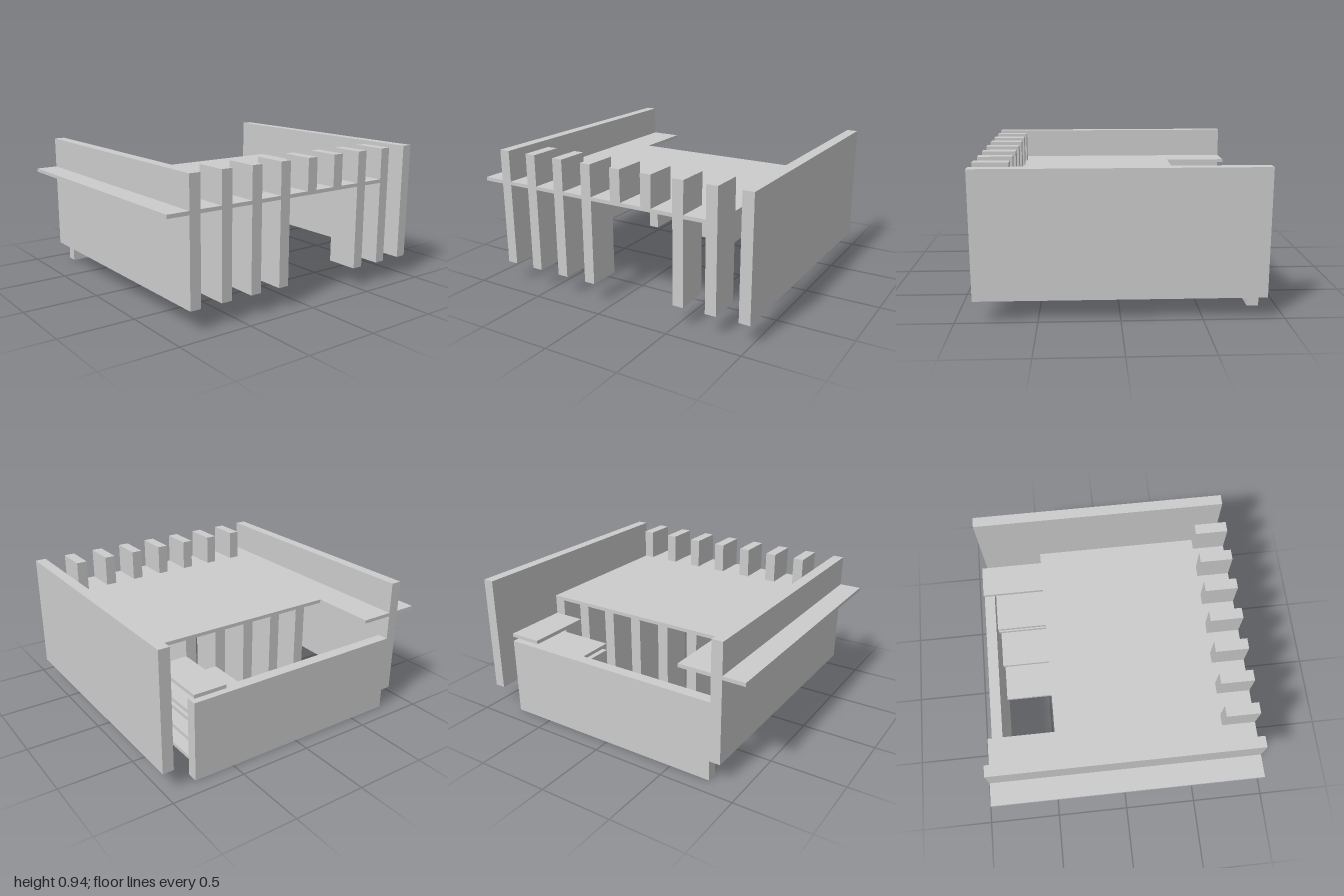
import * as THREE from 'three';

const U = 2 / 9;       // planning grid
const T = U / 3;       // wall and fin thickness
const S = 0.024;       // slab thickness
const X = 4 * U;       // half width
const Y0 = 0.136, Y1 = 0.935; // foot and top of walls
const ROOF = 0.725;    // top of roof slab

export function createModel() {
  const group = new THREE.Group();
  const material = new THREE.MeshStandardMaterial({ color: 0xcccccc });

  // Box given by its min and max on each axis
  function box(name, x0, x1, y0, y1, z0, z1) {
    const mesh = new THREE.Mesh(new THREE.BoxGeometry(x1 - x0, y1 - y0, z1 - z0), material);
    mesh.position.set((x0 + x1) / 2, (y0 + y1) / 2, (z0 + z1) / 2);
    mesh.name = name;
    group.add(mesh);
  }

  // Long walls
  box('frontWall', -X, X, Y0, Y1, 3.5 * U, 3.5 * U + T);
  box('backWall', -X, X, Y0, Y1, -4.5 * U, -4.5 * U + T);

  // Low wall beside the stair
  box('stairWall', -X, -X + T, 0, 0.535, -3.5 * U, 3.5 * U);

  // Roof slab with a stair notch along one side (shape y is -z)
  const outline = [[-4, -4.5], [4, -4.5], [4, 3.5], [-2, 3.5], [-2, -2.5], [-4, -2.5]];
  const roofShape = new THREE.Shape(outline.map(([x, y]) => new THREE.Vector2(x * U, y * U)));
  const roofGeometry = new THREE.ExtrudeGeometry(roofShape, { depth: S, bevelEnabled: false });
  roofGeometry.rotateX(-Math.PI / 2);
  const roof = new THREE.Mesh(roofGeometry, material);
  roof.position.y = ROOF - S;
  roof.name = 'roofSlab';
  group.add(roof);

  // Fins along the open side and beside the stair
  for (let i = 0; i < 7; i++) {
    const z = (-3.5 + i) * U;
    const doorway = i === 2 || i === 3; // fins over the doorway stop at the roof
    box('outerFin', X - U, X, doorway ? ROOF - S : Y0, Y1, z, z + T);
    if (i < 6) box('stairFin', -2 * U, -U, Y0, ROOF - S, z, z + T);
  }

  // Stacked stair plates: top height and front edge
  const plates = [[Y0, 0.5], [0.27, -0.5], [0.405, -1.5], [0.455, -1.5]];
  for (const [top, front] of plates) {
    box('stairPlate', -X + T, -2 * U, top - S, top, -3.5 * U, front * U);
  }
  box('stairLanding', -X, -2 * U, 0.59 - S, 0.59, -3.5 * U, -2.5 * U);

  return group;
}
